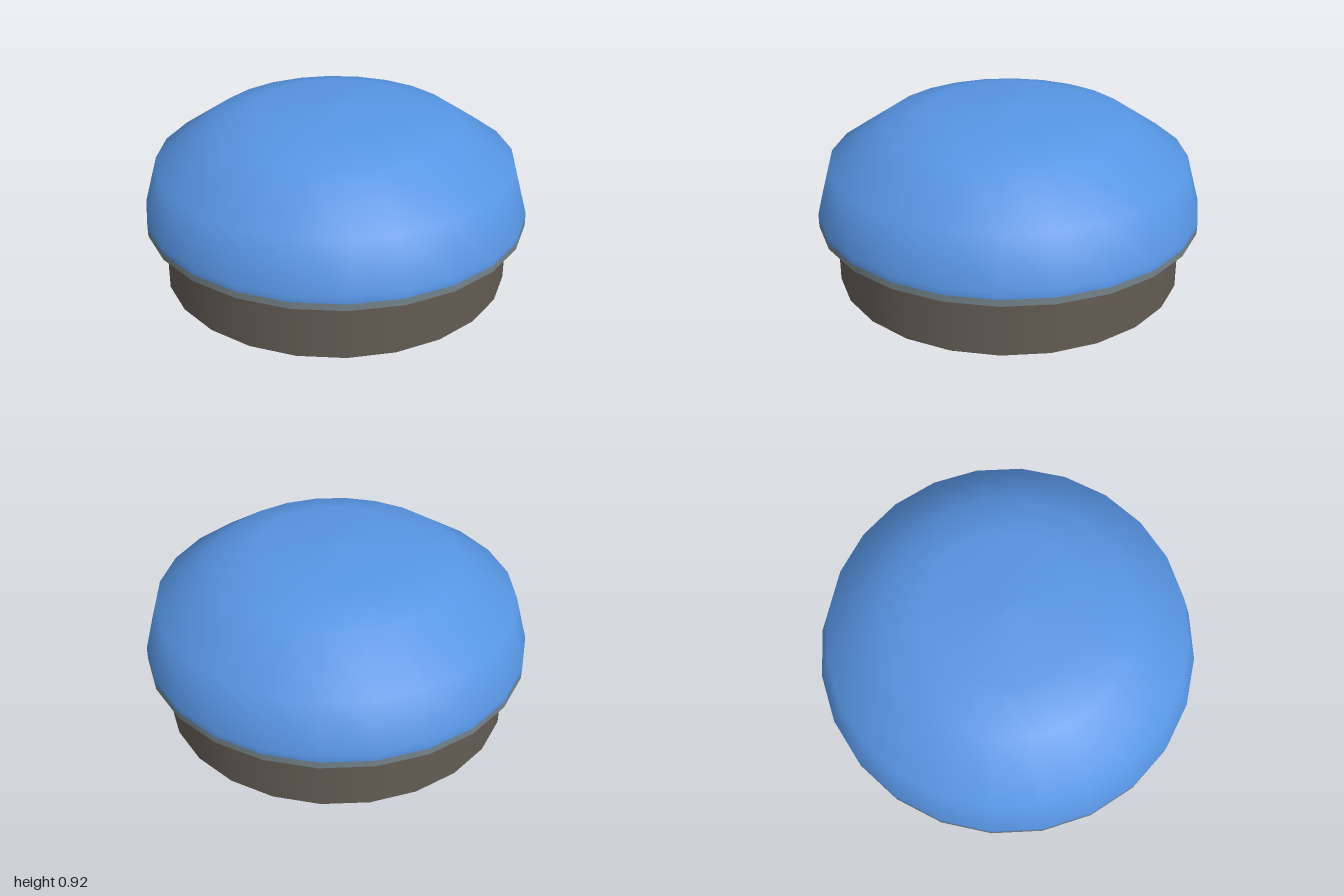
import * as THREE from 'three';

const SIDES = 24;

export function createModel() {
  const model = new THREE.Group();
  model.name = 'domedButton';

  const material = (name, color) => {
    const m = new THREE.MeshStandardMaterial({ color });
    m.name = name;
    return m;
  };
  const blue = material('blue', 0x5795e3);
  const grey = material('blue grey', 0x74838a);
  const brown = material('dark brown', 0x645c54);

  // Turned part from [radius, height] pairs, running from bottom to top
  const turned = (name, mat, profile) => {
    const points = profile.map(([r, y]) => new THREE.Vector2(r, y));
    const mesh = new THREE.Mesh(new THREE.LatheGeometry(points, SIDES), mat);
    mesh.name = name;
    model.add(mesh);
  };

  // Base: separate pieces keep the edges between them sharp
  turned('baseBottom', brown, [[0, 0], [0.91, 0]]);
  turned('baseWall', brown, [[0.91, 0], [0.91, 0.27]]);
  turned('rimUnderside', brown, [[0.91, 0.27], [1, 0.32]]);

  // Trim band around the widest part
  turned('rimBand', grey, [[1, 0.32], [1, 0.355]]);

  // Smooth cap
  turned('dome', blue, [
    [1, 0.355], [1, 0.39], [0.93, 0.64], [0.64, 0.835], [0.41, 0.9], [0, 0.92],
  ]);

  return model;
}
